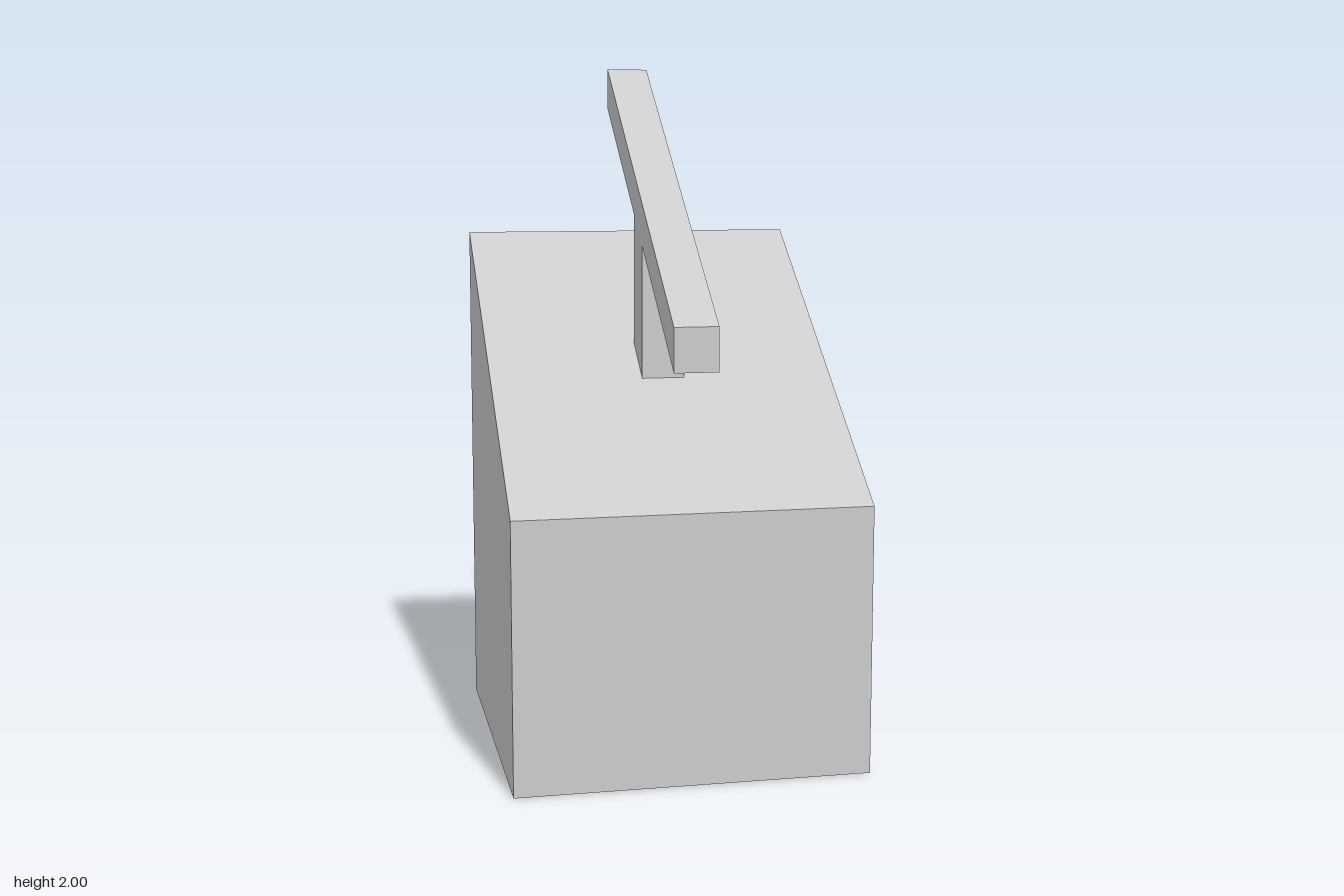
import * as THREE from 'three';

const material = new THREE.MeshStandardMaterial({ color: 0xcccccc, flatShading: true });

// Block of a given width whose side outline is a list of [z, y] points, running from back to front.
function slab(name, width, outline) {
  const shape = new THREE.Shape(outline.map(([z, y]) => new THREE.Vector2(-z, y)));
  const geometry = new THREE.ExtrudeGeometry(shape, { depth: width, bevelEnabled: false });
  geometry.translate(0, 0, -width / 2).rotateY(Math.PI / 2);
  const mesh = new THREE.Mesh(geometry, material);
  mesh.name = name;
  return mesh;
}

export function createModel() {
  const group = new THREE.Group();
  group.name = 'slopedPedestal';

  const half = 0.507;  // half depth of the base and bar
  const post = 0.0625; // half thickness of the post and bar
  const slope = 0.712; // rise towards the back
  const at = (mid, z) => [z, mid - slope * z]; // point on a sloped line

  // Solid base with a slanted top
  group.add(slab('base', half * 2, [[-half, 0], at(1.13, -half), at(1.13, half), [half, 0]]));

  // Short upright post, cut to the slope at both ends
  group.add(slab('post', post * 2, [at(1.13, -post), at(1.515, -post), at(1.515, post), at(1.13, post)]));

  // Slanted bar, parallel to the base top with vertical ends
  group.add(slab('bar', post * 2, [at(1.515, -half), at(1.639, -half), at(1.639, half), at(1.515, half)]));

  return group;
}
